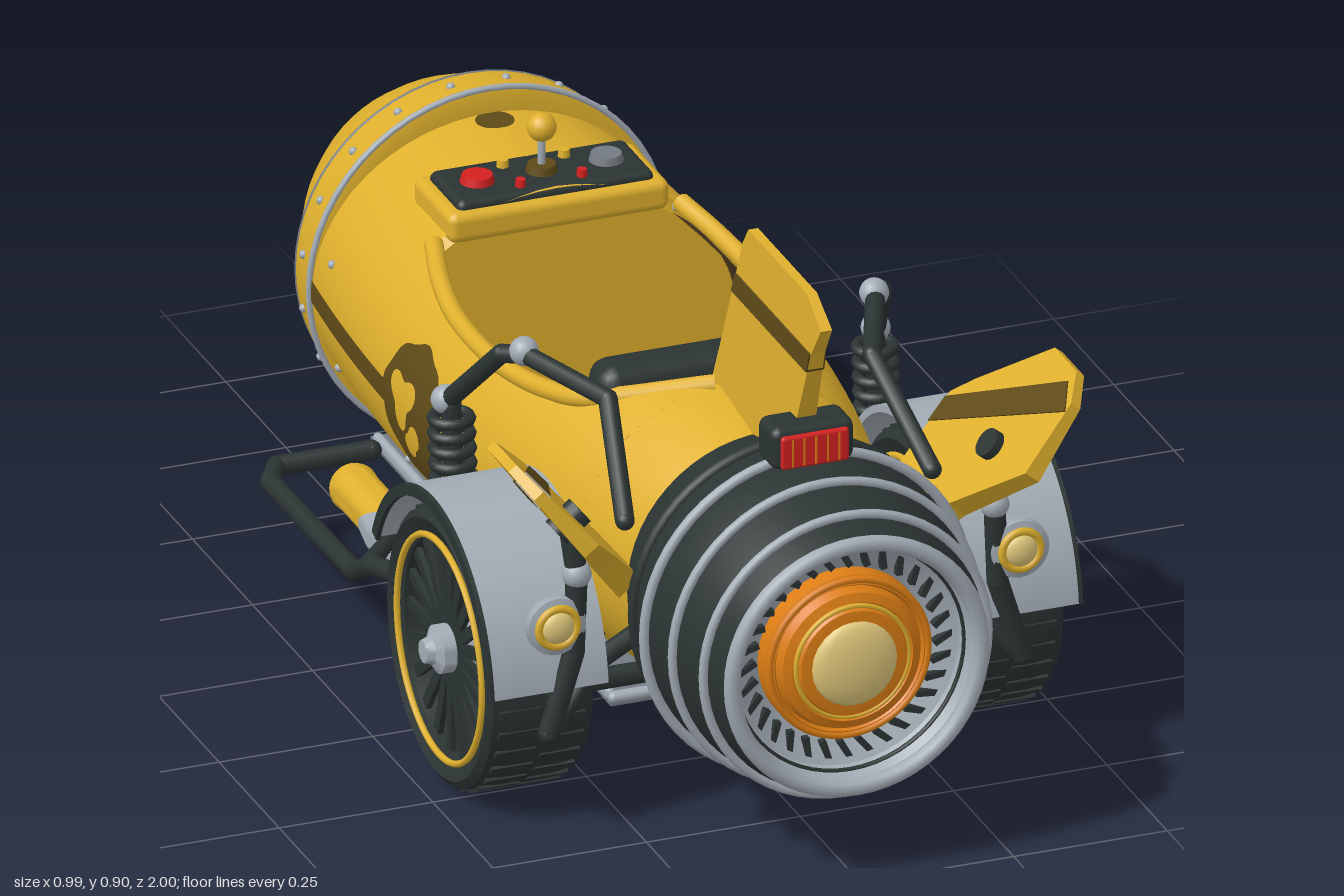
import * as THREE from 'three';
import { toCreasedNormals } from 'three/addons/utils/BufferGeometryUtils.js';
import { RoundedBoxGeometry } from 'three/addons/geometries/RoundedBoxGeometry.js';
import { ParametricGeometry } from 'three/addons/geometries/ParametricGeometry.js';

const paint = (name, color, side = THREE.FrontSide) => Object.assign(new THREE.MeshStandardMaterial({ color, side }), { name });
const V = (x, y, z) => new THREE.Vector3(x, y, z);

export function createModel() {
  const yellow = paint('yellow', 0xdfb02d, THREE.DoubleSide), black = paint('charcoal', 0x2b3333);
  const steel = paint('steel', 0xa3acb5, THREE.DoubleSide), brown = paint('leather', 0x4f381f, THREE.DoubleSide);
  const stripe = paint('stripe brown', 0x5e4a18, THREE.DoubleSide), orange = paint('orange', 0xdc7d14);
  const cream = paint('cream', 0xe2ca7c), red = paint('red', 0xd42020), slate = paint('slate', 0x747a82);
  const model = new THREE.Group();

  // ---- helpers ----
  const add = (name, geo, mat, x = 0, y = 0, z = 0, parent = model) => {
    const m = new THREE.Mesh(geo, mat);
    m.name = name; m.position.set(x, y, z); parent.add(m);
    return m;
  };
  const group = (name, x, y, z, parent = model) => {
    const g = new THREE.Group(); g.name = name; g.position.set(x, y, z); parent.add(g); return g;
  };
  const box = (w, h, d, r = 0.01) => new RoundedBoxGeometry(w, h, d, 2, Math.min(r, w / 2, h / 2, d / 2));
  const ball = (r) => new THREE.SphereGeometry(r, 16, 12);
  // Revolve [radius, z] points round the z axis
  const lathe = (pts, seg = 56, crease = 0.6) => toCreasedNormals(
    new THREE.LatheGeometry(pts.map((p) => new THREE.Vector2(...p)), seg).rotateX(Math.PI / 2), crease);
  const ring = (R, t, z, mat, name, parent) => add(name, new THREE.TorusGeometry(R, t, 8, 56), mat, 0, 0, z, parent);
  const rods = (name, pts, r, mat) => {
    pts.forEach((p, i) => {
      add(name + 'Bend', ball(r), mat, p.x, p.y, p.z);
      if (!i) return;
      const d = p.clone().sub(pts[i - 1]);
      const m = add(name, new THREE.CylinderGeometry(r, r, d.length(), 12), mat);
      m.position.copy(p).add(pts[i - 1]).multiplyScalar(0.5);
      m.quaternion.setFromUnitVectors(V(0, 1, 0), d.normalize());
    });
  };
  const surface = (f, nu, nv) => {
    const g = new ParametricGeometry((u, v, t) => t.copy(f(u, v)), nu, nv);
    g.computeVertexNormals();
    return g;
  };
  const lerp = THREE.MathUtils.lerp;

  // ---- hull: elliptical sections with an open cockpit ----
  const YC = 0.357;
  const hullW = (z) => 0.312 - (z < -0.1 ? 0.13 : 0.2) * (z + 0.1) ** 2;
  const hullH = (z) => 0.252 - 0.3 * Math.max(0, z - 0.3) ** 2;
  const hull = (z, a, o = 0) => V((hullW(z) + o) * Math.sin(a), YC + (hullH(z) + o) * Math.cos(a), z);
  const rim = [[-0.26, 0.2], [-0.18, 0.222], [-0.08, 0.238], [0.05, 0.24], [0.15, 0.23], [0.24, 0.212], [0.33, 0.18], [0.46, 0.02]];
  const rimX = (z) => {
    const i = Math.max(1, rim.findIndex((p) => z <= p[0] + 1e-6)), [a, b] = [rim[i - 1], rim[i]];
    return lerp(a[1], b[1], (z - a[0]) / (b[0] - a[0]));
  };
  const rimA = (z) => Math.asin(rimX(z) / hullW(z));
  const loft = (z0, z1, open, off) => surface((u, v) => {
    const z = lerp(z0, z1, v), a = open ? rimA(z) : 0;
    return hull(z, lerp(a, 2 * Math.PI - a, u), off);
  }, 64, 28);
  add('frontHull', loft(-0.56, -0.26, false, 0), yellow);
  add('cockpitHull', loft(-0.26, 0.46, true, 0), yellow);
  add('tailHull', loft(0.46, 0.62, false, 0), yellow);
  add('cockpitLining', loft(-0.26, 0.46, true, -0.018), brown);
  add('frontBulkhead', new THREE.CircleGeometry(1, 40).scale(0.29, 0.235, 1), yellow, 0, YC, -0.255);
  add('rearBulkhead', new THREE.CircleGeometry(1, 40).scale(0.235, 0.23, 1), brown, 0, YC, 0.455);
  for (const s of [-1, 1]) {
    const pts = rim.map(([z]) => hull(z, s * rimA(z), 0.002));
    add('cockpitRim', new THREE.TubeGeometry(new THREE.CatmullRomCurve3(pts), 50, 0.015, 10), yellow);
  }

  // ---- nose cone, riveted band and tip ----
  const nose = group('nose', 0, YC, 0);
  add('noseCone', lathe([[0.045, -0.975], [0.093, -0.93], [0.14, -0.88], [0.184, -0.82], [0.22, -0.76], [0.253, -0.69], [0.275, -0.632]]), yellow, 0, 0, 0, nose);
  add('noseBand', lathe([[0.27, -0.635], [0.28, -0.632], [0.295, -0.55], [0.28, -0.545], [0.25, -0.545]]), yellow, 0, 0, 0, nose);
  ring(0.278, 0.003, -0.636, slate, 'bandSeam', nose);
  ring(0.291, 0.005, -0.55, steel, 'bandEdge', nose);
  add('tipCollar', lathe([[0.02, -0.988], [0.044, -0.987], [0.052, -0.977], [0.052, -0.962], [0.042, -0.95]], 28), steel, 0, 0, 0, nose);
  add('tipCap', lathe([[0, -1], [0.022, -0.999], [0.034, -0.993], [0.037, -0.98]], 28), orange, 0, 0, 0, nose);
  for (let i = 0; i < 20; i++) {
    const a = (i + 0.5) * Math.PI / 10;
    add('rivet', ball(0.007), steel, 0.288 * Math.sin(a), 0.288 * Math.cos(a), -0.588, nose);
  }
  for (const [z, a] of [[-0.48, 1.27], [-0.48, 1.98], [-0.15, 2], [0.2, 2]]) for (const s of [-1, 1])
    add('hullRivet', ball(0.007), steel, ...hull(z, s * a).toArray());

  // ---- painted side stripes and round weathered patches ----
  for (const s of [-1, 1]) {
    const side = (z, y, o) => V(s * ((hullW(z) + o) * Math.sqrt(1 - ((y - YC) / hullH(z)) ** 2)), y, z);
    const blob = (R, n, k, o, cz, cy) => surface((u, v) => {
      const r = v * R * (1 + k * Math.sin(n * u * 2 * Math.PI)), a = u * 2 * Math.PI;
      return side(cz + r * Math.cos(a), cy + r * Math.sin(a), o);
    }, 48, 6);
    for (const [a, b] of [[-0.55, -0.17], [0.02, 0.22]])
      add('sideStripe', surface((u, v) => side(lerp(a, b, u), lerp(0.342, 0.378, v), 0.003), 16, 2), stripe);
    add('roundPatch', blob(0.106, 9, 0.03, 0.004, -0.075, 0.365), stripe);
    add('patchWear', blob(0.04, 3, 0.3, 0.006, -0.1, 0.38), yellow);
    add('patchWear', blob(0.026, 2, 0.35, 0.006, -0.06, 0.325), yellow);
  }
  add('deckMark', new THREE.CylinderGeometry(0.03, 0.03, 0.006, 20), stripe, 0, 0.606, -0.52);

  // ---- jet engine ----
  const jet = group('jetEngine', 0, YC, 0);
  add('jetCasing', lathe([[0, 0.6], [0.225, 0.605], [0.245, 0.69], [0.256, 0.78], [0.244, 0.86], [0.226, 0.94], [0.214, 0.985], [0.2, 0.985]]), black, 0, 0, 0, jet);
  ring(0.247, 0.01, 0.69, black, 'casingRib', jet);
  for (const [R, z, t] of [[0.264, 0.775, 0.008], [0.249, 0.855, 0.0075], [0.232, 0.94, 0.0075]])
    ring(R, t, z, steel, 'casingRing', jet);
  ring(0.203, 0.0135, 0.986, steel, 'intakeLip', jet);
  add('intakeWall', lathe([[0.2, 0.985], [0.188, 0.96], [0.182, 0.945], [0.13, 0.915]]), steel, 0, 0, 0, jet);
  ring(0.187, 0.004, 0.956, black, 'intakeSeam', jet);
  for (let i = 0; i < 32; i++) {
    const a = i * Math.PI / 16, c = 0.161;
    const m = add('turbineSlot', new THREE.BoxGeometry(0.036, 0.01, 0.012), black, c * Math.cos(a), c * Math.sin(a), 0.934, jet);
    m.rotation.set(0, 0, a + 0.5);
  }
  add('burnerCone', lathe([[0.135, 0.91], [0.135, 0.948], [0.122, 0.956], [0.118, 0.95], [0.112, 0.965], [0.098, 0.97], [0.094, 0.962], [0.086, 0.975], [0.07, 0.977], [0, 0.977]]), orange, 0, 0, 0, jet);
  ring(0.129, 0.006, 0.953, orange, 'burnerRing', jet);
  ring(0.092, 0.004, 0.968, yellow, 'burnerRing', jet);
  add('burnerCore', ball(0.07).scale(1, 1, 0.28), cream, 0, 0, 0.976, jet);

  // ---- tail lamp ----
  add('lampHousing', box(0.135, 0.07, 0.07, 0.015), black, 0, 0.648, 0.775);
  add('lampBracket', new THREE.BoxGeometry(0.05, 0.05, 0.05), black, 0, 0.605, 0.76);
  add('lampLens', box(0.11, 0.054, 0.014, 0.005), red, 0, 0.645, 0.81);
  for (let i = -2; i <= 2; i++) add('lampLine', new THREE.BoxGeometry(0.003, 0.045, 0.003), orange, i * 0.019, 0.645, 0.817);

  // ---- tail fins: outline in (z, height along the fin) ----
  const finPiece = (name, outline, half, mat, x, y, dx, dy, top) => {
    const geo = new THREE.ExtrudeGeometry(new THREE.Shape(outline.map((p) => new THREE.Vector2(...p))), { depth: 2, bevelEnabled: false }).translate(0, 0, -1);
    const p = geo.attributes.position;
    for (let i = 0; i < p.count; i++) p.setZ(i, p.getZ(i) * (half + 0.012 * (1 - p.getY(i) / top)));
    geo.applyMatrix4(new THREE.Matrix4().makeBasis(V(0, 0, 1), V(dx, dy, 0), V(-dy, dx, 0)));
    geo.computeVertexNormals();
    add(name, geo, mat, x, y);
  };
  finPiece('centreFin', [[0.42, 0], [0.46, 0.1], [0.535, 0.3], [0.555, 0.33], [0.8, 0.33], [0.86, 0.293], [0.825, 0.24], [0.78, 0.12], [0.72, 0]], 0.008, yellow, 0, 0.57, 0, 1, 0.33);
  finPiece('centreFinStripe', [[0.5, 0.205], [0.514, 0.24], [0.824, 0.24], [0.812, 0.205]], 0.0105, stripe, 0, 0.57, 0, 1, 0.33);
  for (const s of [-1, 1]) {
    finPiece('sideFin', [[0.5, -0.07], [0.5, 0], [0.487, 0.14], [0.52, 0.18], [0.645, 0.305], [0.735, 0.305], [0.78, 0.265], [0.8, 0.14], [0.68, 0.02], [0.62, -0.07]], 0.008, yellow, s * 0.27, 0.42, s * 0.63, 0.777, 0.305);
    finPiece('sideFinStripe', [[0.492, 0.085], [0.488, 0.13], [0.735, 0.285], [0.782, 0.25]], 0.0105, stripe, s * 0.27, 0.42, s * 0.63, 0.777, 0.305);
    const knob = add('finKnob', new THREE.CylinderGeometry(0.024, 0.024, 0.05, 16), black, s * 0.35, 0.525, 0.68);
    knob.rotation.z = s * 0.89;
  }

  // ---- wheels: built round z, then turned to the x axis; q is the rim radius as a share of R ----
  const wheel = (name, x, y, z, R, W, q, spokes, spokeMat, s) => {
    const g = group(name, x, y, z);
    g.rotation.y = s * Math.PI / 2;
    add('tyre', lathe([[q, -0.8], [0.91, -1], [0.965, -0.9], [0.985, -0.5], [0.985, 0.5], [0.965, 0.9], [0.91, 1], [q, 0.8], [q, -0.8]].map(([r, w]) => [r * R, w * W])), black, 0, 0, 0, g);
    for (let i = 0; i < 72; i++) {
      const a = i * Math.PI / 36, t = i % 2 ? 1 : -1;
      const lug = add('tread', new THREE.BoxGeometry(R * 0.03, R * 0.055, W * 0.75), black, R * 0.982 * Math.cos(a), R * 0.982 * Math.sin(a), t * W * 0.42, g);
      lug.rotation.z = a;
    }
    for (const t of [-1, 1]) {
      ring(R * (q + 0.02), R * 0.024, t * W * 0.94, yellow, 'rimRing', g);
      for (let i = 0; i < spokes; i++) {
        const a = i * 2 * Math.PI / spokes;
        const sp = add('spoke', new THREE.BoxGeometry(R * (q - 0.12), R * 0.085, R * 0.04), spokeMat, R * (q + 0.12) / 2 * Math.cos(a), R * (q + 0.12) / 2 * Math.sin(a), t * W * 0.72, g);
        sp.rotation.z = a;
      }
    }
    add('rimBarrel', lathe([[R * q, W * 0.82], [R * (q - 0.03), 0], [R * q, -W * 0.82]]), black, 0, 0, 0, g);
    add('hub', lathe([[0, -W], [R * 0.17, -W], [R * 0.17, W], [R * 0.1, W * 1.1], [R * 0.08, W * 1.25], [0, W * 1.27]], 24), steel, 0, 0, 0, g);
  };
  wheel('noseWheel', 0, 0.092, -0.665, 0.092, 0.044, 0.66, 7, steel, 1);

  for (const s of [-1, 1]) {
    wheel('mainWheel', s * 0.383, 0.225, 0.44, 0.224, 0.088, 0.77, 20, black, s);

    // arched fender over each main wheel, with a dark outer trim
    const archPiece = (name, rOut, rIn, depth, mat, x) => {
      const arch = new THREE.Shape();
      arch.absarc(0, 0, rOut, 0.1, Math.PI * 0.88, false);
      arch.absarc(0, 0, rIn, Math.PI * 0.88, 0.1, true);
      const geo = new THREE.ExtrudeGeometry(arch, { depth, bevelEnabled: false, curveSegments: 32 }).translate(0, 0, -depth / 2);
      add(name, toCreasedNormals(geo, 0.5).rotateY(-Math.PI / 2), mat, x, 0.225, 0.44);
    };
    archPiece('fender', 0.256, 0.244, 0.186, steel, s * 0.383);
    archPiece('fenderTrim', 0.257, 0.238, 0.007, black, s * 0.479);

    // headlamp
    const lamp = group('headlamp', s * 0.377, 0.363, 0.69);
    add('lampShell', lathe([[0, -0.04], [0.03, -0.03], [0.047, 0], [0.047, 0.014], [0.034, 0.018]], 28), steel, 0, 0, 0, lamp);
    ring(0.031, 0.007, 0.016, yellow, 'lampBezel', lamp);
    add('lampGlass', ball(0.027).scale(1, 1, 0.5), cream, 0, 0, 0.016, lamp);

    // suspension arms and joints
    const P = (x, y, z) => V(s * x, y, z);
    rods('upperArm', [P(0.35, 0.5, 0.17), P(0.31, 0.632, 0.3), P(0.285, 0.642, 0.335), P(0.215, 0.628, 0.5), P(0.25, 0.5, 0.66)], 0.015, black);
    rods('lowerArm', [P(0.35, 0.53, 0.68), P(0.34, 0.44, 0.69), P(0.345, 0.31, 0.69), P(0.385, 0.18, 0.69)], 0.017, black);
    rods('lowerBrace', [P(0.385, 0.18, 0.69), P(0.3, 0.27, 0.66), P(0.22, 0.3, 0.64)], 0.016, black);
    rods('axle', [P(0.12, 0.14, 0.46), P(0.3, 0.14, 0.46)], 0.017, black);
    rods('stubAxle', [P(0.2, 0.225, 0.44), P(0.34, 0.225, 0.44)], 0.02, black);
    for (const p of [[0.285, 0.645, 0.33], [0.35, 0.505, 0.17], [0.34, 0.44, 0.69]])
      add('joint', ball(0.023), steel, s * p[0], p[1], p[2]);

    // coil spring and damper
    rods('damper', [P(0.345, 0.26, 0.2), P(0.345, 0.5, 0.18)], 0.016, black);
    for (let i = 0; i < 8; i++)
      add('coil', new THREE.TorusGeometry(0.029, 0.009, 8, 20).rotateX(Math.PI / 2), black, s * 0.345, 0.31 + i * 0.024, 0.195 - i * 0.002);

    // side rail and exhaust canister
    rods('sideRail', [P(0.33, 0.23, 0.24), P(0.4, 0.21, 0.17), P(0.42, 0.185, 0.05), P(0.42, 0.14, -0.03), P(0.42, 0.135, -0.38), P(0.39, 0.135, -0.43), P(0.24, 0.14, -0.42)], 0.016, black);
    rods('railBrace', [P(0.42, 0.17, 0.02), P(0.36, 0.3, 0.1), P(0.29, 0.34, 0.12)], 0.015, black);
    const can = group('canister', s * 0.355, 0.195, 0);
    add('canisterBody', lathe([[0, -0.2], [0.025, -0.2], [0.036, -0.21], [0.039, -0.2], [0.037, -0.18], [0.037, 0.07], [0, 0.08]], 24), yellow, 0, 0, 0, can);
    add('canisterPipe', lathe([[0, -0.09], [0.03, -0.085], [0.038, -0.04], [0.038, 0.1], [0.022, 0.22], [0, 0.22]], 24), steel, 0.008 * s, -0.004, 0, can);
  }

  // ---- belly plate ----
  add('bellyPlate', new THREE.BoxGeometry(0.4, 0.012, 1), slate, 0, 0.104, -0.025);
  add('bellyBar', box(0.41, 0.018, 0.02), steel, 0, 0.113, 0.475);
  for (const s of [-1, 1]) add('bellyRail', box(0.016, 0.022, 0.98), steel, s * 0.195, 0.112, -0.025);

  // ---- dashboard ----
  add('dashSurround', box(0.36, 0.05, 0.16, 0.015), yellow, 0, 0.572, -0.325);
  add('dashPanel', box(0.32, 0.034, 0.13, 0.012), black, 0, 0.593, -0.325);
  const dial = (x, z, r, mat) => add('dial', new THREE.CylinderGeometry(r * 0.85, r, 0.016, 20), mat, x, 0.614, z);
  dial(-0.105, -0.325, 0.028, red); dial(0.105, -0.325, 0.028, slate); dial(0, -0.325, 0.026, stripe);
  for (const s of [-1, 1]) { dial(s * 0.05, -0.285, 0.009, red); dial(s * 0.05, -0.36, 0.01, yellow); }
  rods('lever', [V(0, 0.61, -0.325), V(0, 0.67, -0.325)], 0.006, steel);
  add('leverKnob', ball(0.023), yellow, 0, 0.683, -0.325);

  // ---- seat ----
  const back = group('seatBack', 0, 0.41, 0.245);
  back.rotation.x = 0.42;
  add('backFrame', box(0.34, 0.34, 0.05, 0.02), brown, 0, 0, 0.02, back);
  const base = group('seatBase', 0, 0.26, 0.09);
  add('baseFrame', box(0.34, 0.08, 0.24, 0.02), brown, 0, 0, 0, base);
  for (const x of [-0.08, 0.08]) {
    for (let i = 0; i < 4; i++) add('backPad', box(0.15, 0.074, 0.04, 0.015), brown, x, -0.115 + i * 0.078, -0.012, back);
    for (let i = 0; i < 3; i++) add('basePad', box(0.15, 0.072, 0.03, 0.014), brown, x, 0.045, -0.075 + i * 0.076, base);
    add('armRest', box(0.045, 0.05, 0.13, 0.02), brown, x * 2.1, 0.4, 0.2);
  }
  add('headRest', box(0.34, 0.075, 0.085, 0.03), black, 0, 0.562, 0.325);
  return model;
}
